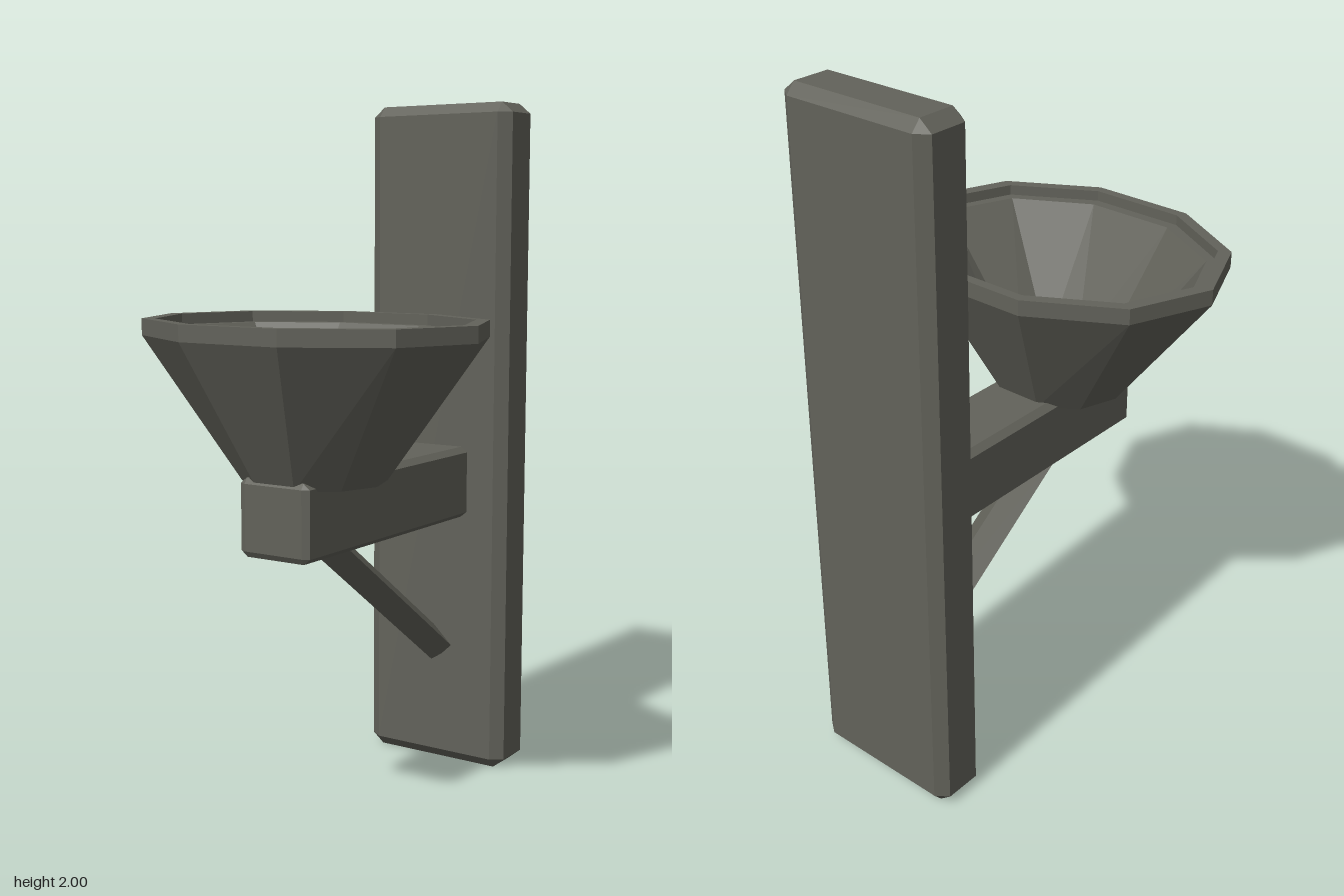
import * as THREE from 'three';
import { ConvexGeometry } from 'three/addons/geometries/ConvexGeometry.js';

const metal = new THREE.MeshStandardMaterial({ color: 0x62625a, flatShading: true });
metal.name = 'dark iron';

function part(name, geometry) {
  const mesh = new THREE.Mesh(geometry, metal);
  mesh.name = name;
  return mesh;
}

// Box with chamfered edges: half sizes h and chamfer widths c along each axis.
function chamferBox(h, c) {
  const points = [];
  for (const sx of [-1, 1]) for (const sy of [-1, 1]) for (const sz of [-1, 1]) {
    for (let axis = 0; axis < 3; axis++) {
      const p = h.map((v, i) => (i === axis ? v : v - c[i]));
      points.push(new THREE.Vector3(sx * p[0], sy * p[1], sz * p[2]));
    }
  }
  return new ConvexGeometry(points);
}

// Faceted oval shell through rings of [x radius, z radius, y].
function ovalShell(rings, sides) {
  const pos = [];
  const at = ([rx, rz, y], k) => {
    const a = ((k % sides) / sides) * Math.PI * 2;
    return [rx * Math.cos(a), y, rz * Math.sin(a)];
  };
  for (let i = 0; i < rings.length - 1; i++) {
    const low = rings[i], high = rings[i + 1];
    for (let k = 0; k < sides; k++) {
      const a = at(low, k), b = at(low, k + 1), c = at(high, k), d = at(high, k + 1);
      if (low[0] > 0) pos.push(...a, ...c, ...b);
      if (high[0] > 0) pos.push(...b, ...c, ...d);
    }
  }
  const geometry = new THREE.BufferGeometry();
  geometry.setAttribute('position', new THREE.Float32BufferAttribute(pos, 3));
  geometry.computeVertexNormals();
  return geometry;
}

export function createModel() {
  const group = new THREE.Group();
  group.name = 'wall sconce';

  // Tall wall plate
  const plate = part('wallPlate', chamferBox([0.237, 1, 0.08], [0.036, 0.03, 0.026]));
  plate.position.set(0, 1, -0.503);
  group.add(plate);

  // Horizontal arm, its back end sunk into the plate
  const arm = part('arm', chamferBox([0.112, 0.107, 0.43], [0.02, 0.016, 0.01]));
  arm.position.set(0, 0.882, -0.033);
  group.add(arm);

  // Diagonal strut with a diamond section
  const foot = new THREE.Vector3(0, 0.359, -0.438);
  const head = new THREE.Vector3(0, 0.795, 0.172);
  const along = head.clone().sub(foot);
  const strut = part('strut', new THREE.CylinderGeometry(1, 1, along.length(), 4));
  strut.geometry.scale(0.062, 1, 0.048);
  strut.position.copy(foot).add(head).multiplyScalar(0.5);
  strut.rotation.x = Math.atan2(along.z, along.y);
  group.add(strut);

  // Ten-sided oval bowl: underside, outer wall, rim, ledge, inner wall, floor
  const bowl = part('bowl', ovalShell([
    [0, 0, 0.965],
    [0.2, 0.19, 0.965],
    [0.5, 0.394, 1.355],
    [0.5, 0.394, 1.4],
    [0.46, 0.363, 1.4],
    [0.46, 0.363, 1.37],
    [0.432, 0.33, 1.37],
    [0.147, 0.142, 1.0],
    [0.085, 0.073, 1.0],
    [0.085, 0.073, 0.99],
    [0, 0, 0.99],
  ], 10));
  bowl.position.z = 0.206;
  group.add(bowl);

  return group;
}
